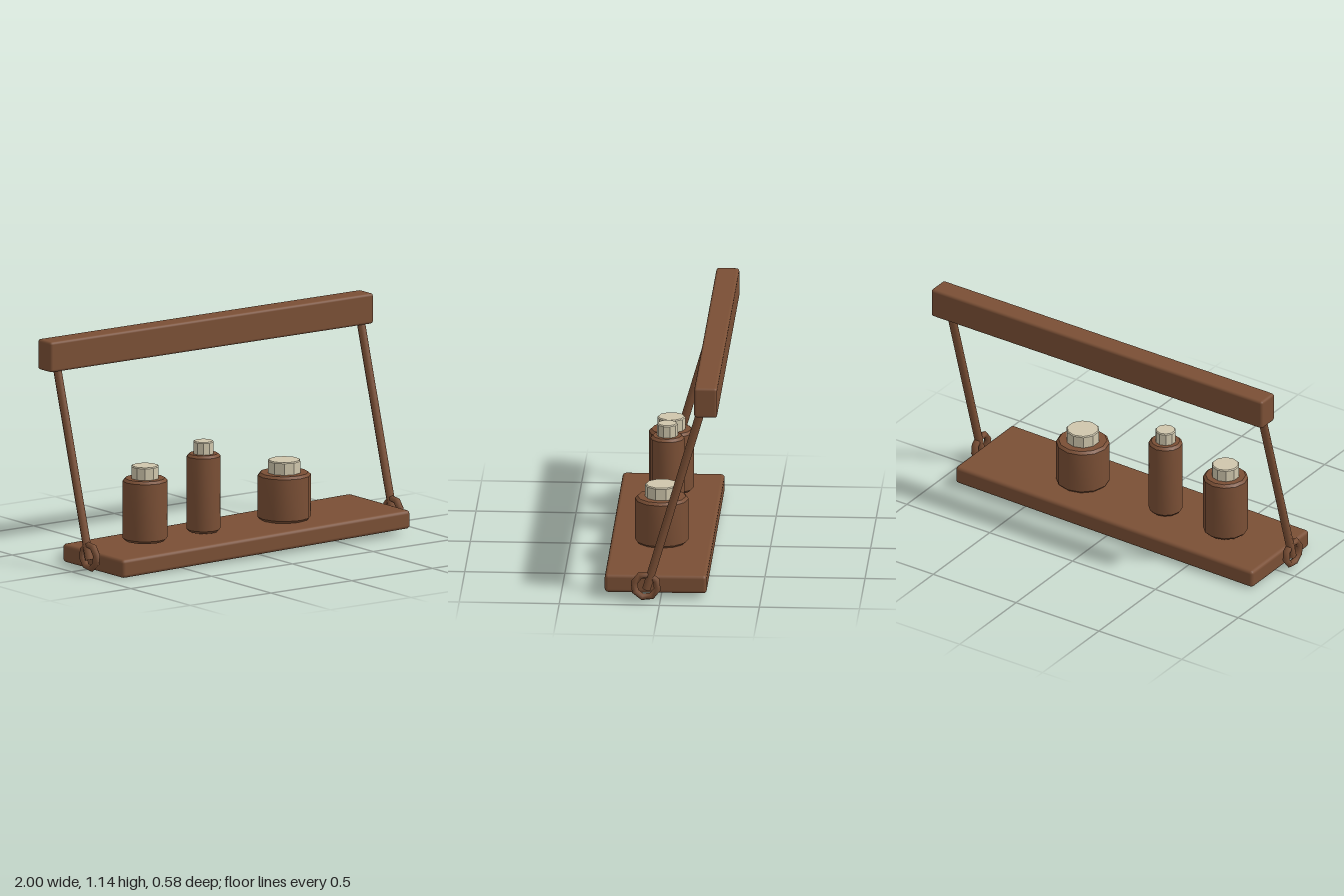
import * as THREE from 'three';
import { toCreasedNormals } from 'three/addons/utils/BufferGeometryUtils.js';
import { RoundedBoxGeometry } from 'three/addons/geometries/RoundedBoxGeometry.js';

const wood = new THREE.MeshStandardMaterial({ color: 0x7a4f35 });
wood.name = 'brown wood';
const cream = new THREE.MeshStandardMaterial({ color: 0xcfc6ac });
cream.name = 'cream stopper';

function addMesh(parent, name, geometry, material, x = 0, y = 0, z = 0) {
  const mesh = new THREE.Mesh(geometry, material);
  mesh.name = name;
  mesh.position.set(x, y, z);
  parent.add(mesh);
  return mesh;
}

// Upright faceted cylinder with chamfered rims, standing on y = 0
function chamferedCylinder(radius, height, bevel, sides) {
  const profile = [
    [0, 0], [radius - bevel, 0], [radius, bevel],
    [radius, height - bevel], [radius - bevel, height], [0, height],
  ].map(([r, y]) => new THREE.Vector2(r, y));
  return toCreasedNormals(new THREE.LatheGeometry(profile, sides), 0.6);
}

export function createModel() {
  const model = new THREE.Group();
  model.name = 'hangingShelf';

  // Top beam
  addMesh(model, 'beam', new RoundedBoxGeometry(2, 0.155, 0.115, 2, 0.014), wood, 0, 1.067, -0.231);

  // Slightly crooked shelf board
  const shelf = addMesh(model, 'shelf', new RoundedBoxGeometry(1.79, 0.094, 0.51, 2, 0.018), wood, 0, 0.067, 0.029);
  shelf.rotation.set(0, 0.005, 0.0165);

  // Slanted hanging rods, each ending in an eight-sided ring
  const top = new THREE.Vector3(0, 1.02, -0.208);
  const bottom = new THREE.Vector3(0, 0.07, 0.068);
  const along = top.clone().sub(bottom);
  const middle = top.clone().add(bottom).multiplyScalar(0.5);
  const tilt = Math.atan2(along.z, along.y);
  for (const side of [-1, 1]) {
    const label = side > 0 ? 'left' : 'right';
    const rod = addMesh(model, label + 'Rod',
      toCreasedNormals(new THREE.CylinderGeometry(0.021, 0.021, along.length(), 8), 0.9),
      wood, side * 0.94, middle.y, middle.z);
    rod.rotation.x = tilt;
    const ring = addMesh(model, label + 'Ring', new THREE.TorusGeometry(0.06, 0.018, 6, 8),
      wood, side * 0.94, 0.088, 0.071);
    ring.rotation.set(tilt, Math.PI / 2, 0);
  }

  // Stoppered jars: x, radius, body height, stopper radius
  const jars = [
    ['wideTallJar', -0.565, 0.113, 0.317, 0.07],
    ['slimJar', -0.203, 0.085, 0.397, 0.052],
    ['squatJar', 0.297, 0.134, 0.238, 0.084],
  ];
  for (const [name, x, radius, height, capRadius] of jars) {
    const jar = new THREE.Group();
    jar.name = name;
    jar.position.set(x, 0.118, 0.027);
    addMesh(jar, 'jarBody', chamferedCylinder(radius, height, 0.013, 12), wood);
    addMesh(jar, 'jarStopper', chamferedCylinder(capRadius, 0.07, 0.005, 10), cream, 0, height - 0.006, 0);
    model.add(jar);
  }

  return model;
}
